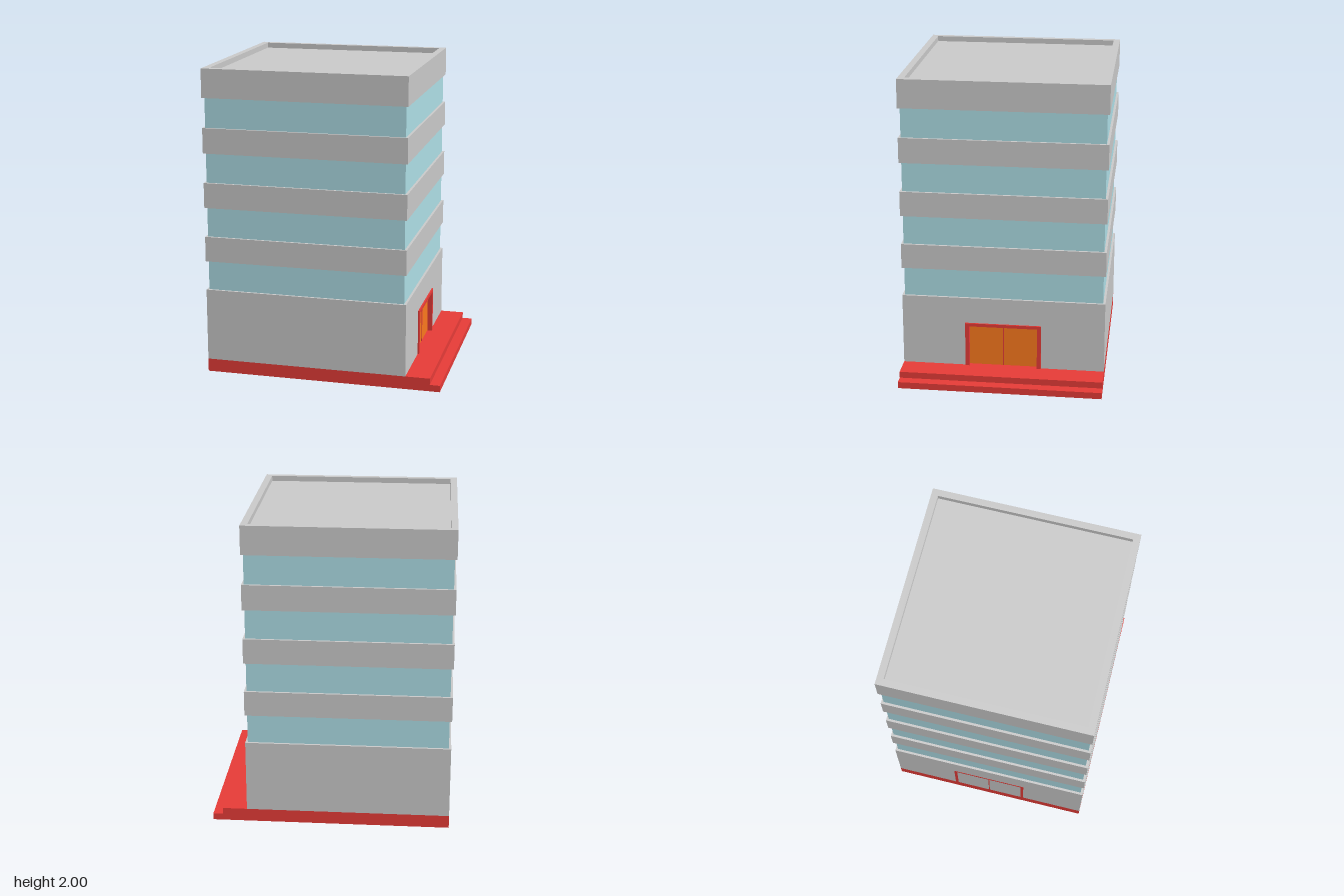
import * as THREE from 'three';

const material = (color) => new THREE.MeshStandardMaterial({ color });
const GREY = material(0xcccccc);
const GLASS = material(0xafe0e8);
const RED = material(0xe83c38);
const ORANGE = material(0xfd7a1e);

const X0 = -0.77, X1 = 0.547, HALF = 0.66; // tower footprint
const FLOOR = 0.085, GROUND_TOP = 0.56;

export function createModel() {
  const model = new THREE.Group();
  model.name = 'officeBuilding';

  const add = (name, geometry, mat) => {
    const mesh = new THREE.Mesh(geometry, mat);
    mesh.name = name;
    model.add(mesh);
    return mesh;
  };

  // Box given by its limits on each axis
  const box = (name, mat, x0, x1, y0, y1, z0, z1) =>
    add(name, new THREE.BoxGeometry(x1 - x0, y1 - y0, z1 - z0), mat)
      .position.set((x0 + x1) / 2, (y0 + y1) / 2, (z0 + z1) / 2);

  // Upside-down U around the doorway, extruded along x
  const arch = (name, mat, x0, x1, outer, top, inner, innerTop) => {
    const shape = new THREE.Shape([
      [-outer, FLOOR], [-inner, FLOOR], [-inner, innerTop], [inner, innerTop],
      [inner, FLOOR], [outer, FLOOR], [outer, top], [-outer, top],
    ].map(([a, b]) => new THREE.Vector2(a, b)));
    const geometry = new THREE.ExtrudeGeometry(shape, { depth: x1 - x0, bevelEnabled: false });
    geometry.rotateY(Math.PI / 2).translate(x0, 0, 0);
    add(name, geometry, mat);
  };

  // Stepped plinth
  box('lowerStep', RED, X0, 0.77, 0, 0.043, -HALF, HALF);
  box('upperStep', RED, X0, 0.705, 0.043, FLOOR, -HALF, HALF);

  // Ground floor, with the doorway cut into its entrance wall
  const recess = X1 - 0.03;
  box('groundFloor', GREY, X0, recess, FLOOR, GROUND_TOP, -HALF, HALF);
  arch('entranceWall', GREY, recess, X1, HALF, GROUND_TOP, 0.245, 0.383);

  // Entrance doors, and the flush outline on the opposite wall
  arch('doorFrame', RED, recess, X1 + 0.01, 0.248, 0.386, 0.222, 0.365);
  box('doors', ORANGE, recess, recess + 0.008, FLOOR, 0.365, -0.222, 0.222);
  box('doorDivider', RED, recess, recess + 0.012, FLOOR, 0.365, -0.004, 0.004);
  arch('rearDoorFrame', RED, X0 - 0.001, X0 + 0.01, 0.248, 0.386, 0.228, 0.367);
  box('rearDoorDivider', RED, X0 - 0.001, X0 + 0.01, FLOOR, 0.367, -0.003, 0.003);

  // Upper storeys: inset window ribbon below a projecting band
  const storey = 0.3545, inset = 0.015;
  for (let i = 0; i < 4; i++) {
    const y = GROUND_TOP + i * storey;
    const bandBottom = y + 0.191;
    box('windowRibbon', GLASS, X0 + inset, X1 - inset, y, bandBottom, -HALF + inset, HALF - inset);
    box('storeyBand', GREY, X0, X1, bandBottom, i < 3 ? y + storey : 1.965, -HALF, HALF);
  }

  // Parapet around the sunken roof
  const rim = 0.043;
  const rectangle = (Type, m) => new Type([
    [X0 + m, -HALF + m], [X1 - m, -HALF + m], [X1 - m, HALF - m], [X0 + m, HALF - m],
  ].map(([a, b]) => new THREE.Vector2(a, b)));
  const outline = rectangle(THREE.Shape, 0);
  outline.holes.push(rectangle(THREE.Path, rim));
  const parapet = new THREE.ExtrudeGeometry(outline, { depth: 0.035, bevelEnabled: false });
  parapet.rotateX(-Math.PI / 2).translate(0, 1.965, 0);
  add('parapet', parapet, GREY);

  return model;
}
